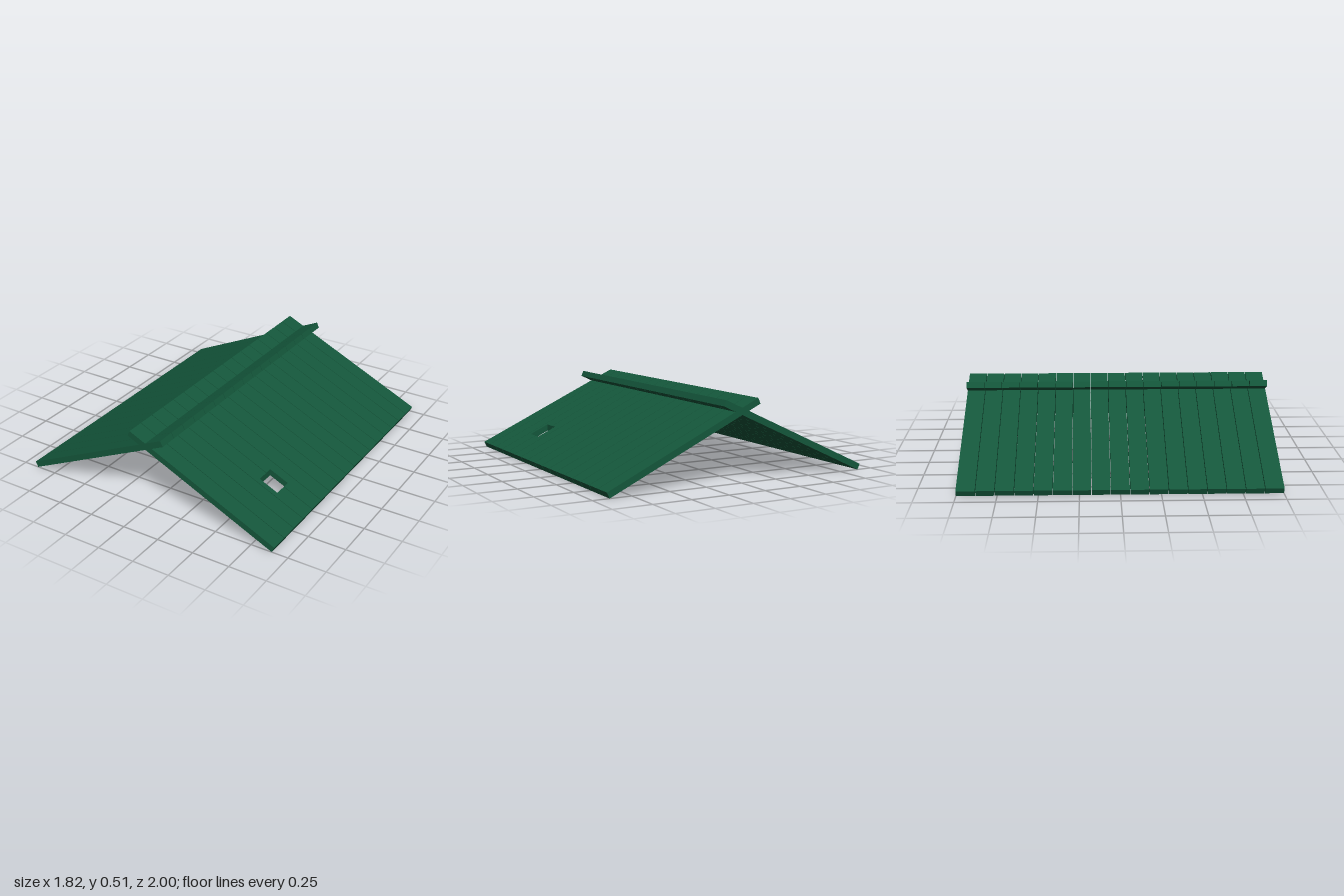
import * as THREE from 'three';

const PLANKS = 17, PITCH = 2 / PLANKS, GAP = 0.004;
const ANGLE = THREE.MathUtils.degToRad(25), THICK = 0.04;
const RIDGE_Y = 0.438;                       // height where the two slopes cross
const X_TOP = -0.122, X_EAVE = 0.9;          // plank ends, measured along the centre line
const HOLE = { x0: 0.578, x1: 0.705, z0: 0.48, z1: 0.61 };

// Plan outline of a plank, notched wherever the flue opening crosses it
function plankOutline(z0, z1, withHole) {
  const p = [[X_TOP, z0]];
  const { x0, x1 } = HOLE;
  if (withHole && HOLE.z1 > z0 && HOLE.z1 < z1) {
    p.push([x0, z0], [x0, HOLE.z1], [x1, HOLE.z1], [x1, z0]);
  }
  p.push([X_EAVE, z0], [X_EAVE, z1]);
  if (withHole && HOLE.z0 > z0 && HOLE.z0 < z1) {
    p.push([x1, z1], [x1, HOLE.z0], [x0, HOLE.z0], [x0, z1]);
  }
  p.push([X_TOP, z1]);
  return new THREE.Shape(p.map(([x, z]) => new THREE.Vector2(x, -z)));
}

// Extrude the plan upwards, then shear it to the roof pitch with square-cut ends
function plankGeometry(z0, z1, withHole) {
  const rise = THICK / Math.cos(ANGLE);
  const geo = new THREE.ExtrudeGeometry(plankOutline(z0, z1, withHole), { depth: rise, bevelEnabled: false });
  geo.rotateX(-Math.PI / 2);
  const pos = geo.attributes.position;
  for (let i = 0; i < pos.count; i++) {
    let x = pos.getX(i);
    const h = pos.getY(i) / rise - 0.5;
    if (x < X_TOP + 0.001 || x > X_EAVE - 0.001) x += h * THICK * Math.sin(ANGLE);
    pos.setXYZ(i, x, RIDGE_Y - x * Math.tan(ANGLE) + h * rise, pos.getZ(i));
  }
  geo.computeVertexNormals();
  return geo;
}

// One roof slope made of parallel planks
function roofSlope(name, material, withHole) {
  const slope = new THREE.Group();
  slope.name = name;
  for (let i = 0; i < PLANKS; i++) {
    const z0 = -1 + i * PITCH + (i > 0 ? GAP / 2 : 0);
    const z1 = -1 + (i + 1) * PITCH - (i < PLANKS - 1 ? GAP / 2 : 0);
    const plank = new THREE.Mesh(plankGeometry(z0, z1, withHole), material);
    plank.name = 'roofPlank' + (i + 1);
    slope.add(plank);
  }
  return slope;
}

export function createModel() {
  const model = new THREE.Group();
  model.name = 'plankRoof';
  const green = new THREE.MeshStandardMaterial({ color: 0x14573b });

  // Left slope carries the opening; right slope is plain and turned to face the other way
  const left = roofSlope('leftRoofSlope', green, true);
  const right = roofSlope('rightRoofSlope', green, false);
  right.rotation.y = Math.PI;
  model.add(left, right);
  return model;
}
